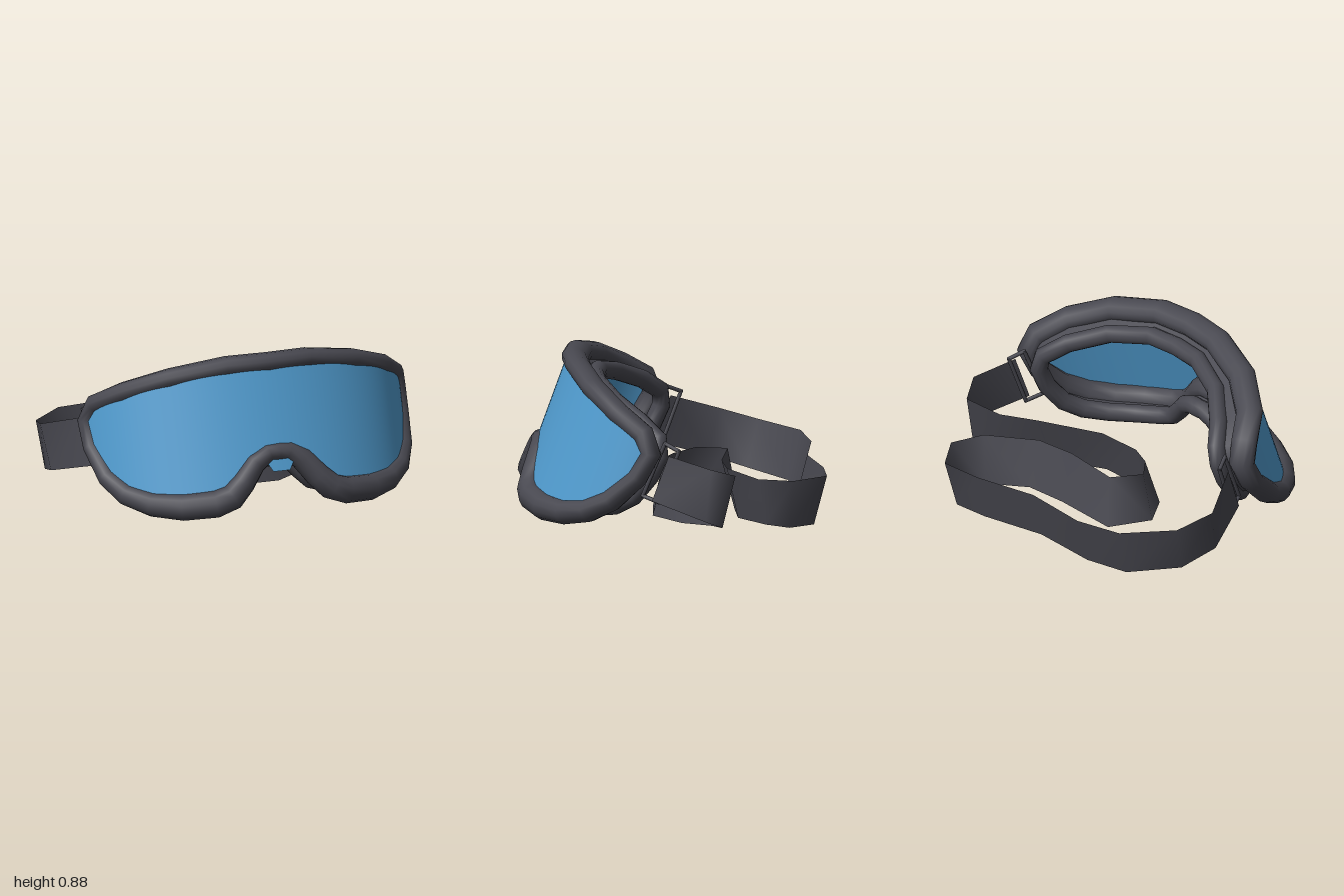
import * as THREE from 'three';

const CX = 0.02; // the mask sits slightly off the strap's centre

// Half outline of the mask (u, y, rim half width), from the brow round to the nose
const HALF = [
  [0, 0.845, 0.056], [0.24, 0.84, 0.056], [0.55, 0.775, 0.056], [0.78, 0.675, 0.056],
  [0.9, 0.575, 0.056], [0.93, 0.47, 0.056], [0.922, 0.34, 0.056], [0.88, 0.21, 0.06],
  [0.81, 0.145, 0.062], [0.7, 0.118, 0.066], [0.55, 0.118, 0.072], [0.38, 0.14, 0.074],
  [0.29, 0.175, 0.072], [0.22, 0.245, 0.066], [0.14, 0.34, 0.06], [0.06, 0.388, 0.056], [0, 0.39, 0.056],
];
const OUTLINE = [...HALF, ...HALF.slice(1, -1).reverse().map(([u, y, w]) => [-u, y, w])];

// Curved, tilted surfaces that the mask parts follow
const faceZ = (u, y) => 0.88 - 0.75 * (1 - Math.sqrt(Math.max(0, 1 - (u / 0.95) ** 2))) - 0.36 * y;
const foamZ = (u, y) => 0.66 - 0.36 * Math.abs(u / 0.66) ** 2.5 - 0.36 * y;

function normalAt(f, u, y) {
  const e = 0.004;
  return new THREE.Vector3(
    -(f(u + e, y) - f(u - e, y)) / (2 * e), -(f(u, y + e) - f(u, y - e)) / (2 * e), 1).normalize();
}

// Points of an outline laid on a surface and pushed along its normal
function layOut(outline, f, push) {
  return outline.map(([u, y, w]) => {
    const n = normalAt(f, u, y);
    return { n, w, p: new THREE.Vector3(u + CX, y, f(u, y)).addScaledVector(n, push(w)) };
  });
}

// Grid of points to a geometry
function gridGeometry(rows, closeRows = false, closeCols = false) {
  const R = rows.length, C = rows[0].length, index = [];
  for (let i = 0; i < (closeRows ? R : R - 1); i++) {
    for (let j = 0; j < (closeCols ? C : C - 1); j++) {
      const a = i * C + j, b = ((i + 1) % R) * C + j;
      const c = i * C + (j + 1) % C, d = ((i + 1) % R) * C + (j + 1) % C;
      index.push(a, b, c, b, d, c);
    }
  }
  const g = new THREE.BufferGeometry().setFromPoints(rows.flat());
  g.setIndex(index);
  g.computeVertexNormals();
  return g;
}

// Closed padded ring with an oval section
function ringGeometry(path, depth, sides = 12) {
  const rows = path.map(({ p, n, w }, i) => {
    const next = path[(i + 1) % path.length].p, prev = path.at(i - 1).p;
    const out = n.clone().cross(next.clone().sub(prev)).normalize();
    return Array.from({ length: sides }, (_, j) => {
      const a = (j / sides) * Math.PI * 2;
      return p.clone().addScaledVector(n, Math.cos(a) * depth).addScaledVector(out, Math.sin(a) * w);
    });
  });
  return gridGeometry(rows, true, true);
}

// Height of a run of outline points at u
function heightAt(points, u) {
  for (let i = 0; i < points.length - 1; i++) {
    const [a, ya] = points[i], [b, yb] = points[i + 1];
    if (u >= a && u <= b) return ya + (yb - ya) * (u - a) / (b - a || 1);
  }
  return points.at(-1)[1];
}

function lensGeometry() {
  const upper = HALF.slice(0, 6), lower = HALF.slice(5).reverse();
  const rows = [];
  for (let i = 0; i <= 60; i++) {
    const u = 0.93 * Math.sin((i / 60 - 0.5) * Math.PI);
    const hi = heightAt(upper, Math.abs(u));
    // a small tab shows under the nose arch
    const lo = Math.abs(u) < 0.06 ? 0.29 : heightAt(lower, Math.abs(u));
    rows.push(Array.from({ length: 7 }, (_, j) => {
      const y = lo + (hi - lo) * j / 6;
      return new THREE.Vector3(u + CX, y, faceZ(u, y)).addScaledVector(normalAt(faceZ, u, y), -0.025);
    }));
  }
  return gridGeometry(rows);
}

// Strap stations: top edge x, y, z then bottom edge x, y, z
const STRAP = [
  [0.88, 0.45, 0.0, 0.865, 0.2, 0.09],
  [0.96, 0.39, -0.23, 0.995, 0.11, -0.2],
  [0.87, 0.34, -0.36, 0.9, 0.06, -0.29],
  [0.66, 0.31, -0.31, 0.68, 0.03, -0.23],
  [0.5, 0.29, -0.18, 0.5, 0.01, -0.07],
  [0.2, 0.26, 0.02, 0.24, 0, 0.09],
  [-0.06, 0.26, 0.03, -0.06, 0, 0.09],
  [-0.19, 0.26, -0.02, -0.23, 0, 0.05],
  [-0.31, 0.27, -0.14, -0.37, 0.01, -0.13],
  [-0.23, 0.28, -0.31, -0.27, 0.01, -0.36],
  [0.11, 0.28, -0.28, 0.11, 0.01, -0.35],
  [0.34, 0.28, -0.31, 0.35, 0.01, -0.37],
  [0.6, 0.27, -0.48, 0.54, 0.01, -0.52],
  [0.65, 0.27, -0.67, 0.58, 0, -0.65],
  [0.5, 0.27, -0.85, 0.48, 0, -0.78],
  [0.26, 0.27, -0.83, 0.28, 0, -0.76],
  [-0.09, 0.27, -0.74, -0.08, 0, -0.67],
  [-0.47, 0.27, -0.76, -0.46, 0, -0.68],
  [-0.74, 0.28, -0.7, -0.72, 0.01, -0.63],
  [-0.95, 0.3, -0.47, -0.92, 0.04, -0.41],
  [-1, 0.35, -0.26, -0.96, 0.1, -0.2],
  [-0.84, 0.45, 0.0, -0.825, 0.2, 0.09],
];

// Straight round bar between two points
function bar(a, b, radius, material) {
  const dir = b.clone().sub(a);
  const mesh = new THREE.Mesh(new THREE.CylinderGeometry(radius, radius, dir.length() + radius, 8), material);
  mesh.position.copy(a).add(b).multiplyScalar(0.5);
  mesh.quaternion.setFromUnitVectors(new THREE.Vector3(0, 1, 0), dir.normalize());
  return mesh;
}

export function createModel() {
  const model = new THREE.Group();
  model.name = 'goggles';

  const rubber = new THREE.MeshStandardMaterial({ color: 0x484850 });
  rubber.name = 'charcoal';
  const fabric = rubber.clone(); // same colour, seen from both sides
  fabric.side = THREE.DoubleSide;
  const glass = new THREE.MeshStandardMaterial({ color: 0x509bce, side: THREE.DoubleSide });
  glass.name = 'lens blue';

  const add = (name, geometry, material) => {
    const mesh = new THREE.Mesh(geometry, material);
    mesh.name = name;
    model.add(mesh);
  };

  // Mask: rim (bulging forward where it is wide), lens, face padding and the skirt joining them
  const rimPath = layOut(OUTLINE, faceZ, (w) => -0.07 + 2 * (w - 0.056));
  const foamOutline = OUTLINE.map(([u, y]) => [
    u * 0.78,
    y > 0.45 ? 0.41 + (y - 0.45) * 0.8 : 0.41 + (y - 0.45) * 0.9 - 0.06 * Math.exp(-((u / 0.2) ** 2)),
    0.05,
  ]);
  const foamPath = layOut(foamOutline, foamZ, () => 0);
  add('rim', ringGeometry(rimPath, 0.075), rubber);
  add('lens', lensGeometry(), glass);
  add('facePadding', ringGeometry(foamPath, 0.05), rubber);
  add('skirt', gridGeometry(rimPath.map(({ p }, i) => [p, foamPath[i].p]), true), fabric);

  // Folded strap
  const strapRows = STRAP.map((s) => [new THREE.Vector3(...s.slice(0, 3)), new THREE.Vector3(...s.slice(3))]);
  add('strap', gridGeometry(strapRows), fabric);

  // Wire buckles at both ends of the strap
  for (const side of [1, -1]) {
    const buckle = new THREE.Group();
    buckle.name = side > 0 ? 'leftBuckle' : 'rightBuckle';
    const corners = [[0.81, 0.51, 0.02], [0.85, 0.475, -0.055], [0.83, 0.19, 0.05], [0.79, 0.22, 0.14]]
      .map(([u, y, z]) => new THREE.Vector3(side * u + CX, y, z));
    corners.forEach((c, i) => buckle.add(bar(c, corners[(i + 1) % 4], 0.011, rubber)));
    model.add(buckle);
  }
  return model;
}
